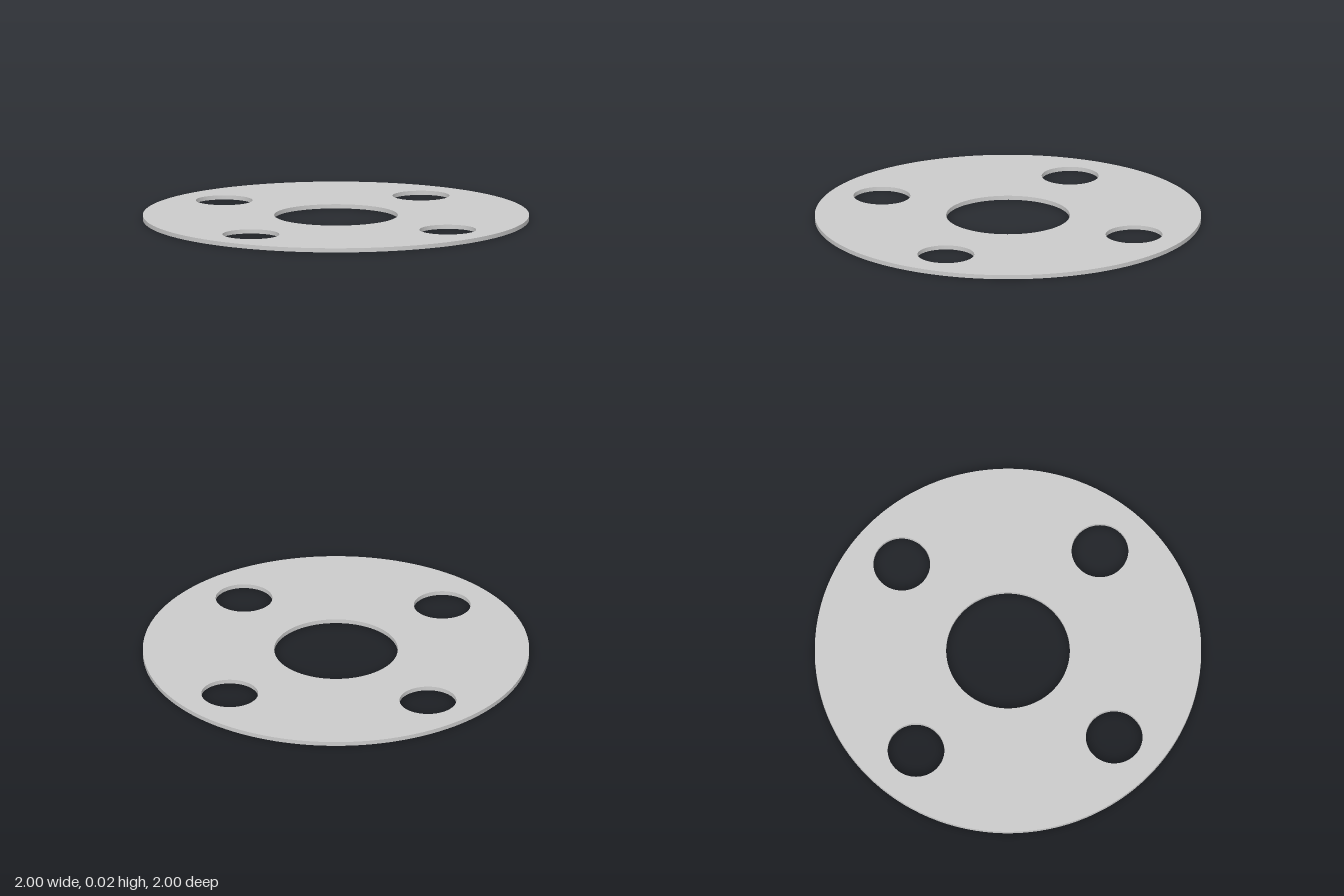
import * as THREE from 'three';
import { toCreasedNormals } from 'three/addons/utils/BufferGeometryUtils.js';

const THICKNESS = 0.022;
const OUTER_RADIUS = 1;
const BORE_RADIUS = 0.32;
const BOLT_HOLE_RADIUS = 0.147;
const BOLT_CIRCLE_RADIUS = 0.727;
const BOLT_COUNT = 4;

const circle = (Type, x, y, radius) => new Type().absarc(x, y, radius, 0, Math.PI * 2, false);

export function createModel() {
  const group = new THREE.Group();
  group.name = 'flangeGasket';

  // Disc outline with the central bore
  const outline = circle(THREE.Shape, 0, 0, OUTER_RADIUS);
  outline.holes.push(circle(THREE.Path, 0, 0, BORE_RADIUS));

  // Ring of bolt holes
  for (let i = 0; i < BOLT_COUNT; i++) {
    const a = (i / BOLT_COUNT) * Math.PI * 2;
    outline.holes.push(circle(THREE.Path,
      Math.cos(a) * BOLT_CIRCLE_RADIUS, Math.sin(a) * BOLT_CIRCLE_RADIUS, BOLT_HOLE_RADIUS));
  }

  // Thin plate lying flat on the ground, smooth rims with sharp edges
  const geometry = new THREE.ExtrudeGeometry(outline, {
    depth: THICKNESS, bevelEnabled: false, curveSegments: 64,
  });
  geometry.rotateX(-Math.PI / 2);

  const plate = new THREE.Mesh(
    toCreasedNormals(geometry, Math.PI / 6),
    new THREE.MeshStandardMaterial({ color: 0xcccccc }),
  );
  plate.name = 'gasketPlate';
  group.add(plate);
  return group;
}
